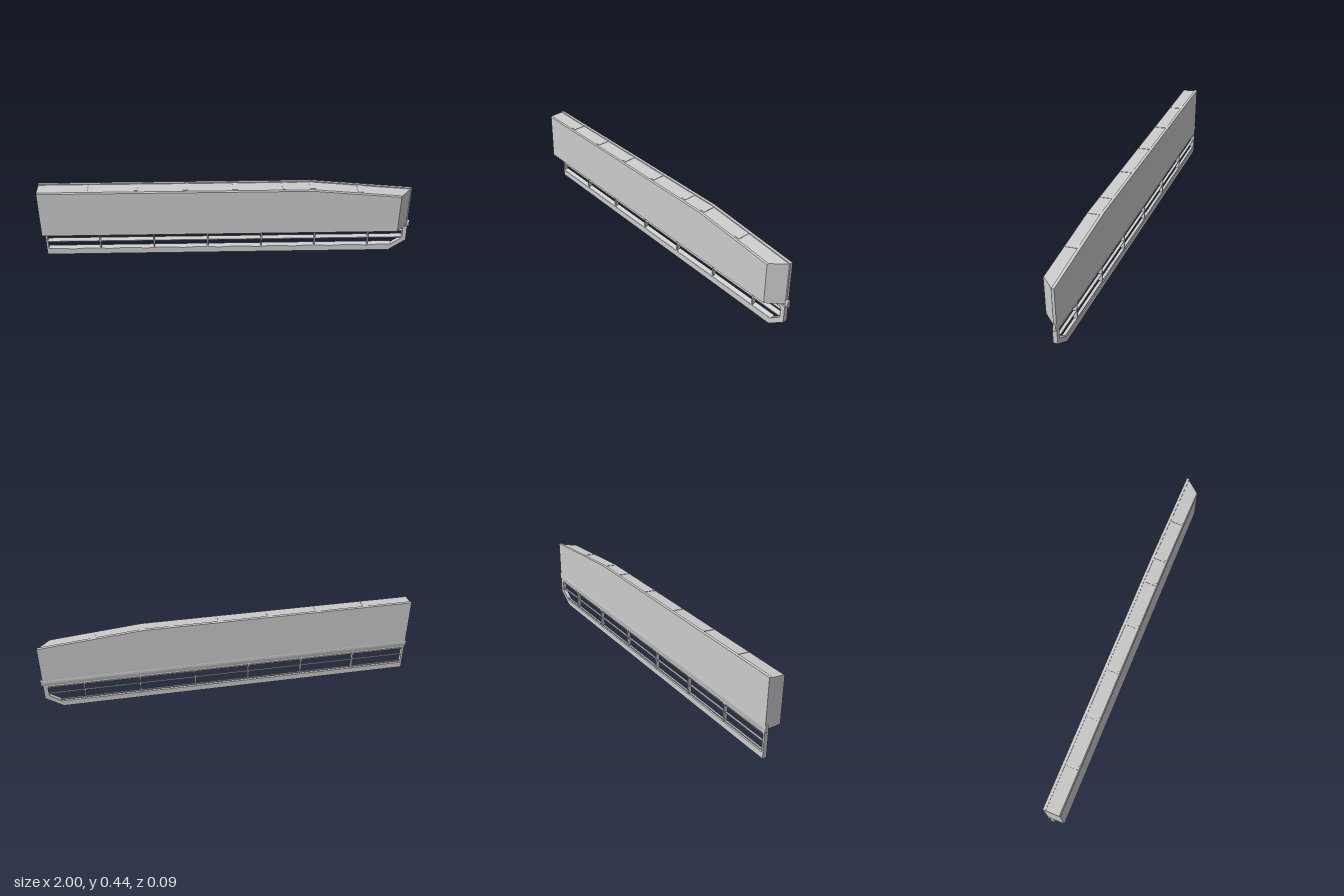
import * as THREE from 'three';
import { toCreasedNormals } from 'three/addons/utils/BufferGeometryUtils.js';

const material = new THREE.MeshStandardMaterial({ color: 0xcccccc });
const LEFT = -0.995, BEND = 0.45;

// Skin a list of convex sections, ordered along +x, and cap both ends.
function loft(sections) {
  const pos = [];
  const tri = (a, b, c) => pos.push(...a, ...b, ...c);
  const n = sections[0].length;
  for (let s = 0; s < sections.length - 1; s++) {
    const a = sections[s], b = sections[s + 1];
    for (let i = 0; i < n; i++) {
      const j = (i + 1) % n;
      tri(a[i], b[i], b[j]);
      tri(a[i], b[j], a[j]);
    }
  }
  const first = sections[0], last = sections[sections.length - 1];
  for (let i = 1; i < n - 1; i++) {
    tri(first[0], first[i], first[i + 1]);
    tri(last[0], last[i + 1], last[i]);
  }
  const g = new THREE.BufferGeometry();
  g.setAttribute('position', new THREE.Float32BufferAttribute(pos, 3));
  return toCreasedNormals(g, 0.6);
}

// Straight bar along x with a [z, y] profile.
const bar = (profile, x0, x1) => loft([x0, x1].map(x => profile.map(([z, y]) => [x, y, z])));

// Fall of the roof beyond the bend.
const drop = x => Math.max(0, x - BEND) * 0.0926;
const roofY = (x, z) => 0.43 - (z + 0.03) * 0.114 - drop(x);

const polygon = (points, Type = THREE.Shape) => new Type(points.map(p => new THREE.Vector2(...p)));

function extrude(shape, z0, z1) {
  const g = new THREE.ExtrudeGeometry(shape, { depth: z1 - z0, bevelEnabled: false });
  return g.translate(0, 0, z0);
}

export function createModel() {
  const group = new THREE.Group();
  const add = (name, geometry) => {
    const mesh = new THREE.Mesh(geometry, material);
    mesh.name = name;
    group.add(mesh);
    return mesh;
  };

  // Deep box with a sloped roof, small front bevel and a slanted right end
  const profile = [[-0.03, 0.16], [0.045, 0.16], [0.045, 0.415], [0.04, 0.422], [-0.03, 0.43]];
  const endX = z => 0.985 - (z + 0.03) * 0.867;
  const section = xAt => profile.map(([z, y]) => {
    const x = xAt(z);
    return [x, y > 0.2 ? y - drop(x) : y, z];
  });
  add('body', loft([section(() => LEFT), section(() => BEND), section(endX)]));

  // Back plate standing slightly above the roof
  add('backPlate', extrude(polygon([
    [LEFT, 0.155], [0.99, 0.155], [0.99, 0.385], [BEND, 0.435], [LEFT, 0.435],
  ]), -0.044, -0.029));

  // Shallow ribs across the roof
  for (const x of [-0.745, -0.483, -0.221, 0.041, 0.303, 0.45, 0.703]) {
    add('roofRib', loft([x - 0.014, x, x + 0.014].map(px =>
      [[-0.03, -0.01], [0.033, -0.01], [0.033, 0.002], [-0.03, 0.002]]
        .map(([z, dy]) => [px, roofY(px, z) + dy, z]))));
  }

  // Rounded hinge strip between plate and grille
  const pill = [];
  for (let i = 0; i < 24; i++) {
    const a = (i + 0.5) / 24 * Math.PI * 2;
    pill.push([-0.0365 + 0.008 * Math.cos(a), 0.164 + Math.sign(Math.sin(a)) * 0.013 + 0.008 * Math.sin(a)]);
  }
  add('hingeStrip', bar(pill, -1, 1));

  // Grille frame with a cut lower right corner
  const frame = polygon([[-0.993, 0], [0.9, 0], [0.99, 0.063], [0.99, 0.152], [-0.993, 0.152]]);
  frame.holes.push(polygon([
    [-0.983, 0.033], [-0.983, 0.138], [0.967, 0.138], [0.967, 0.078], [0.903, 0.033],
  ], THREE.Path));
  add('grilleFrame', extrude(frame, -0.044, -0.021));

  // Slats tilted down towards the front
  for (const [y, x1] of [[0.031, 0.91], [0.079, 0.969], [0.12, 0.969]]) {
    add('slat', bar([[-0.043, y + 0.01], [-0.022, y], [-0.022, y + 0.004], [-0.043, y + 0.014]], -0.985, x1));
  }

  // Upright dividers
  for (let i = 0; i < 6; i++) {
    const post = add('gridPost', new THREE.BoxGeometry(0.007, 0.108, 0.02));
    post.position.set(-0.697 + i * 0.295, 0.085, -0.0325);
  }

  return group;
}
